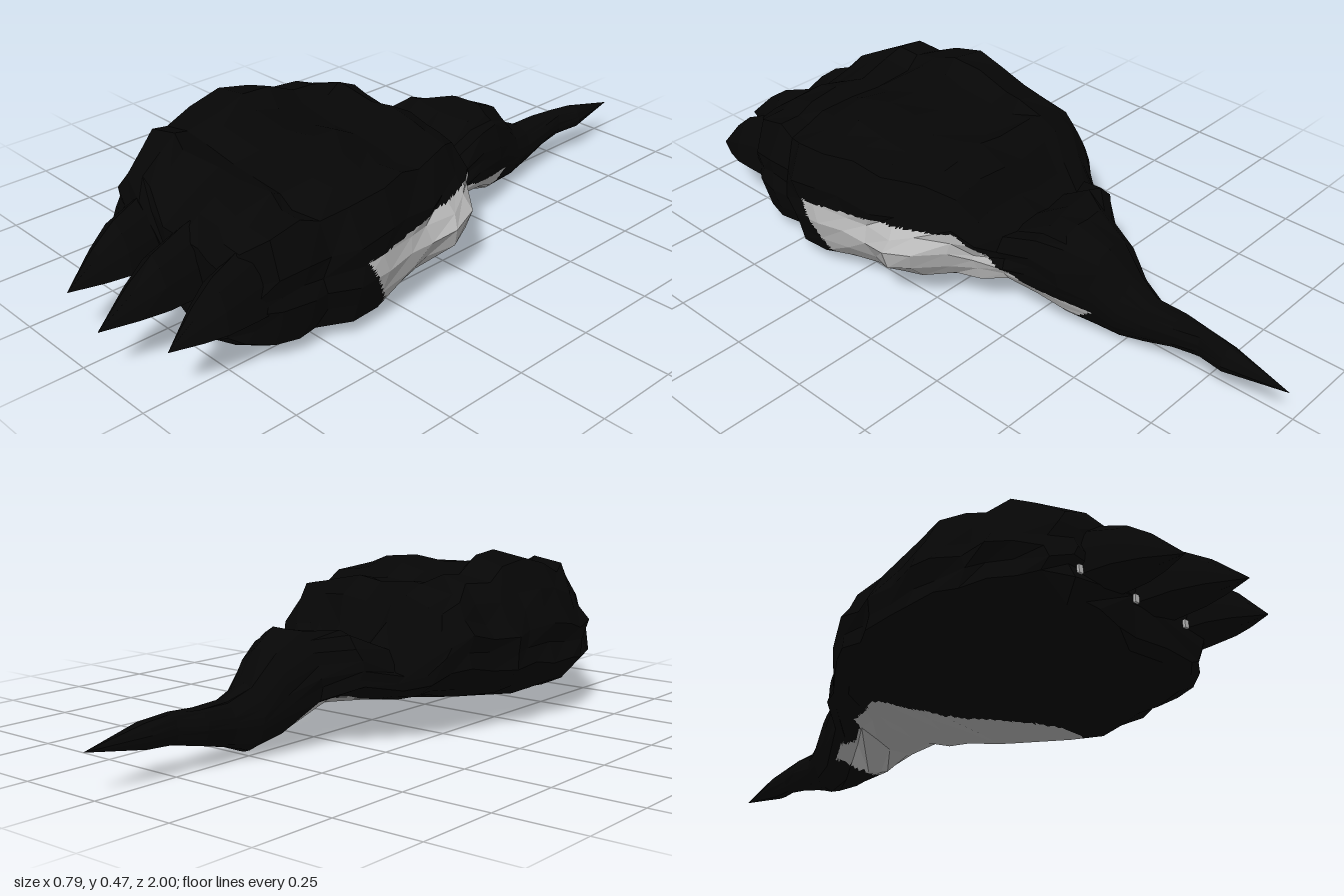
import * as THREE from 'three';

const black = new THREE.MeshStandardMaterial({ color: 0x060606, flatShading: true });
black.name = 'black hide';
const grey = new THREE.MeshStandardMaterial({ color: 0xbcbcbc, flatShading: true });
grey.name = 'pale grey underside';

// Lopsided boxy section of the body, flat-soled section of a claw
const bodySection = [
  [1, -0.3], [0.97, -0.1], [1, 0.2], [0.89, 0.64], [0.68, 0.68], [0.54, 0.77],
  [0.25, 0.83], [0, 0.77], [-0.34, 0.86], [-0.47, 1], [-0.74, 0.9], [-0.86, 0.6],
  [-0.92, 0.35], [-1, 0.15], [-0.97, -0.07], [-1, -0.3], [-0.79, -0.66], [-0.62, -0.78],
  [-0.3, -0.84], [0, -0.92], [0.35, -0.95], [0.73, -1], [0.89, -0.84], [0.96, -0.58],
];
const clawSection = [
  [1, -0.85], [0.85, 0], [0.5, 0.65], [0, 1], [-0.5, 0.65], [-0.85, 0], [-1, -0.85], [0, -1],
];

// Small seeded noise for the lumpy surface
function noise(seed) {
  return () => {
    seed = (seed * 16807) % 2147483647;
    return seed / 2147483647 - 0.5;
  };
}

// Rings through stations [z, xMin, xMax, yMin, yMax]; rings narrower than roundWidth turn to ellipses
function makeRings(stations, section, jitter, roundWidth) {
  const rand = noise(71);
  return stations.map(([z, x0, x1, y0, y1]) => {
    const hw = (x1 - x0) / 2, hh = (y1 - y0) / 2;
    const boxy = THREE.MathUtils.smoothstep(hw, roundWidth / 2, roundWidth);
    const lump = jitter * Math.min(1, hw / 0.2);
    return section.map(([u, v]) => {
      const a = Math.atan2(v, u);
      return new THREE.Vector3(
        (x0 + x1) / 2 + THREE.MathUtils.lerp(Math.cos(a), u, boxy) * hw + rand() * lump,
        (y0 + y1) / 2 + THREE.MathUtils.lerp(Math.sin(a), v, boxy) * hh + rand() * lump,
        z + rand() * lump * 2);
    });
  });
}

// Triangles between neighbouring rings
function skin(rings) {
  const tris = [];
  for (let k = 0; k + 1 < rings.length; k++) {
    const A = rings[k], B = rings[k + 1], n = A.length;
    for (let i = 0; i < n; i++) {
      const j = (i + 1) % n;
      tris.push([A[i], A[j], B[i]], [A[j], B[j], B[i]]);
    }
  }
  return tris.filter(([a, b, c]) => b.clone().sub(a).cross(c.clone().sub(a)).length() > 1e-7);
}

// Split every facet into flat quarters, so a colour edge can cross it
function split(tris, times) {
  for (let t = 0; t < times; t++) {
    tris = tris.flatMap(([a, b, c]) => {
      const ab = a.clone().lerp(b, 0.5), bc = b.clone().lerp(c, 0.5), ca = c.clone().lerp(a, 0.5);
      return [[a, ab, ca], [ab, b, bc], [ca, bc, c], [ab, bc, ca]];
    });
  }
  return tris;
}

function meshOf(tris, material, name) {
  const geometry = new THREE.BufferGeometry().setFromPoints(tris.flat());
  geometry.computeVertexNormals();
  const mesh = new THREE.Mesh(geometry, material);
  mesh.name = name;
  return mesh;
}

// Outline of the pale patch: low on the left flank and across the belly
function isPale([a, b, c]) {
  const x = (a.x + b.x + c.x) / 3, y = (a.y + b.y + c.y) / 3, z = (a.z + b.z + c.z) / 3;
  const lerp = THREE.MathUtils.mapLinear;
  const top = z > -0.08 ? 0.255 - 0.1 * Math.max(0, z)
    : z > -0.17 ? lerp(z, -0.17, -0.08, 0.14, 0.255)
      : lerp(z, -0.43, -0.17, 0.09, 0.14);
  const edge = z > -0.07 ? z - 0.11 : -0.18 + (-0.07 - z) * 0.4;
  const back = -0.43 + 1.4 * Math.max(0, 0.09 - y);
  return (z > back || z > -0.3) && z < 0.29 + 0.53 * y && y < top && x > edge;
}

export function createModel() {
  const model = new THREE.Group();
  model.name = 'clawed creature';

  // Body and tail in one skin, from tail tip to front
  const rings = makeRings([
    [-1, 0.035, 0.035, 0.11, 0.11],
    [-0.82, 0.0, 0.07, 0.08, 0.15],
    [-0.74, 0.0, 0.055, 0.075, 0.16],
    [-0.66, -0.025, 0.065, 0.06, 0.157],
    [-0.57, -0.03, 0.075, 0.035, 0.16],
    [-0.5, -0.06, 0.09, 0.012, 0.19],
    [-0.43, -0.08, 0.11, 0.01, 0.27],
    [-0.34, -0.11, 0.15, 0.03, 0.32],
    [-0.26, -0.19, 0.165, 0.08, 0.31],
    [-0.17, -0.245, 0.175, 0.09, 0.26],
    [-0.11, -0.285, 0.22, 0.085, 0.31],
    [-0.06, -0.32, 0.26, 0.08, 0.4],
    [0.01, -0.345, 0.295, 0.06, 0.445],
    [0.08, -0.355, 0.315, 0.045, 0.43],
    [0.16, -0.385, 0.35, 0.035, 0.425],
    [0.25, -0.375, 0.37, 0.02, 0.46],
    [0.34, -0.39, 0.388, 0.006, 0.473],
    [0.43, -0.39, 0.392, 0.006, 0.45],
    [0.51, -0.38, 0.35, 0.01, 0.42],
    [0.57, -0.355, 0.355, 0.012, 0.44],
    [0.64, -0.325, 0.335, 0.02, 0.41],
    [0.7, -0.285, 0.3, 0.035, 0.37],
    [0.73, -0.23, 0.25, 0.055, 0.32],
    [0.725, 0.0, 0.0, 0.18, 0.18],
  ], bodySection, 0.015, 0.2);

  rings.flat().forEach(p => {
    // Bulge on the left flank
    if (p.x > 0.2 && p.y < 0.27) {
      p.x += 0.085 * Math.exp(-(((p.z - 0.045) / 0.08) ** 2) - ((p.y - 0.17) / 0.08) ** 2);
    }
    // Right rear corner tucked up below and sloped off above
    if (p.x < 0.02 && p.z > -0.45 && p.z < 0.2) {
      const slope = 0.37 * p.x + 0.44 * p.z;
      const tuck = THREE.MathUtils.mapLinear(Math.min(p.z, -0.3), -0.45, -0.3, -0.17, -0.017);
      if (p.z < 0.05) p.y = Math.max(p.y, tuck - slope);
      if (p.z > -0.3) p.y = Math.min(p.y, 0.475 + slope);
    }
  });
  const facets = split(skin(rings), 3);
  model.add(meshOf(facets.filter(t => !isPale(t)), black, 'bodyAndTail'));
  model.add(meshOf(facets.filter(isPale), grey, 'paleUnderside'));

  // Three front claws: [root x, tip x, tip z, half width, height of the sole]
  [[-0.125, -0.1, 0.965, 0.077, 0.155],
    [0.066, 0.087, 1.0, 0.072, 0.145],
    [0.247, 0.26, 0.925, 0.068, 0.138]].forEach(([rx, tx, tz, w, sole], i) => {
    const station = (t, width, height) => {
      const x = THREE.MathUtils.lerp(rx, tx, t);
      return [THREE.MathUtils.lerp(0.6, tz, t), x - width, x + width, sole, sole + height];
    };
    const claw = makeRings([
      station(0, w, 0.2),
      station(0.32, w, 0.18),
      station(0.58, w * 0.9, 0.14),
      station(0.76, w * 0.58, 0.09),
      station(1, 0, 0.002),
    ], clawSection, 0.008, 0.01);
    model.add(meshOf(skin(claw), black, 'claw' + (i + 1)));

    // Pale fleck at the root of the claw
    const fleck = new THREE.Mesh(new THREE.BoxGeometry(0.014, 0.022, 0.008), grey);
    fleck.position.set(rx - w + 0.002, sole + 0.02, 0.736);
    fleck.name = 'clawRootFleck' + (i + 1);
    model.add(fleck);
  });

  return model;
}
